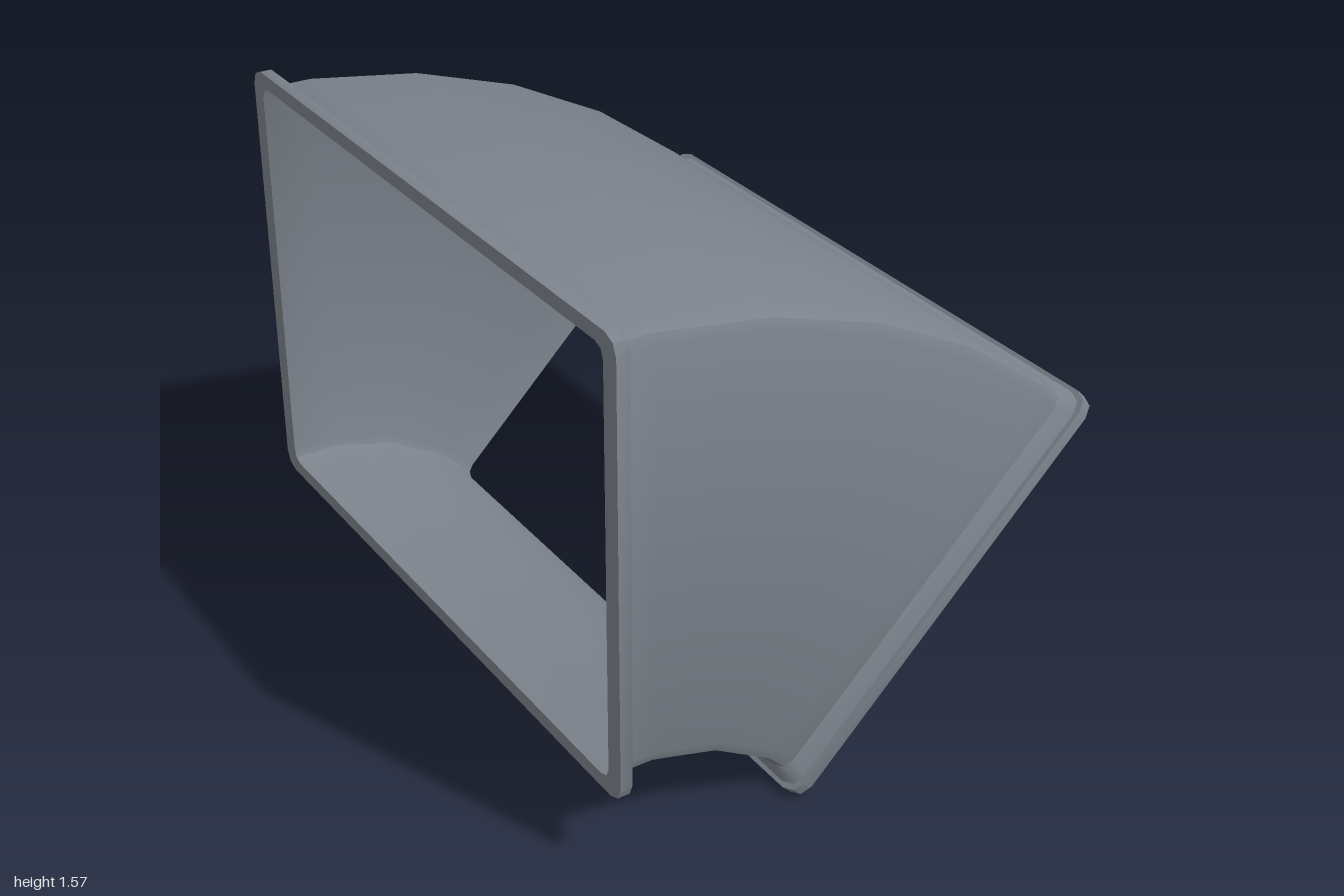
import * as THREE from 'three';
import { toCreasedNormals } from 'three/addons/utils/BufferGeometryUtils.js';

const TURN = Math.PI / 4;                       // bend of the elbow
const PIVOT = new THREE.Vector2(-0.755, -0.566); // where both end planes meet
const R_IN = 0.802, R_OUT = 2.136;              // flange edges, measured from the pivot
const TAIL = 0.135;                             // straight run at each end

// Point in an end plane (turned by angle), at radius r and depth d inward
function endPoint(angle, r, d) {
  const s = Math.sin(angle), c = Math.cos(angle);
  const dir = angle === 0 ? 1 : -1;
  return new THREE.Vector2(PIVOT.x + r * s + dir * d * c, PIVOT.y + r * c - dir * d * s);
}

// Cross-section at one end: depth, inset in height, inset in width, corner radius
const endStation = (angle, [d, iy, iz, r]) => ({
  a: endPoint(angle, R_IN + iy, d), b: endPoint(angle, R_OUT - iy, d), w: 1 - iz, r,
});

// Bend line of n equal chords whose headings step evenly through the turn
function bendLine(radius, n) {
  const start = endPoint(0, radius, TAIL), end = endPoint(TURN, radius, TAIL);
  const steps = [], sum = new THREE.Vector2();
  for (let k = 1; k <= n; k++) {
    const h = (TURN * k) / (n + 1);
    steps.push(new THREE.Vector2(Math.cos(h), -Math.sin(h)));
    sum.add(steps[k - 1]);
  }
  const len = start.distanceTo(end) / sum.length();
  const pts = [start];
  steps.forEach((s) => pts.push(pts[pts.length - 1].clone().addScaledVector(s, len)));
  return pts;
}

// Cross-sections of the duct wall through the bend
function bendStations(iy, iz, r) {
  const top = bendLine(R_OUT - iy, 4), low = bendLine(R_IN + iy, 2);
  return top.map((b, i) => {
    const k = Math.floor(i / 2);
    const a = i % 2 ? low[k].clone().lerp(low[k + 1], 0.5) : low[k];
    return { a, b, w: 1 - iz, r };
  });
}

// Skin through rounded rectangular cross-sections; each corner has two facets with a crease between
function skin(stations) {
  const SEG = 2, pos = [], idx = [], n = 4 * (SEG + 1);
  for (const { a, b, w, r } of stations) {
    const c = a.clone().add(b).multiplyScalar(0.5);
    const e = b.clone().sub(a), h = e.length() / 2;
    e.normalize();
    for (let q = 0; q < 4; q++) {
      const su = q === 0 || q === 3 ? 1 : -1, sz = q < 2 ? 1 : -1;
      for (let k = 0; k <= SEG; k++) {
        const t = (q + k / SEG) * Math.PI / 2;
        const u = su * (h - r) + r * Math.cos(t);
        pos.push(c.x + e.x * u, c.y + e.y * u, sz * (w - r) + r * Math.sin(t));
      }
    }
  }
  for (let i = 0; i < stations.length - 1; i++) {
    for (let j = 0; j < n; j++) {
      const A = i * n + j, B = i * n + (j + 1) % n;
      idx.push(A, B, A + n, B, B + n, A + n);
    }
  }
  const g = new THREE.BufferGeometry();
  g.setAttribute('position', new THREE.Float32BufferAttribute(pos, 3));
  g.setIndex(idx);
  return toCreasedNormals(g, 0.55);
}

export function createModel() {
  const group = new THREE.Group();
  group.name = 'ductElbow';
  const material = new THREE.MeshStandardMaterial({ color: 0x7b828b, side: THREE.DoubleSide });
  const add = (name, stations) => {
    const mesh = new THREE.Mesh(skin(stations), material);
    mesh.name = name;
    group.add(mesh);
  };

  // Flange profile, from the opening outward and back down to the wall
  const hole = [0, 0.042, 0.058, 0.035];
  const neck = [0.068, 0.035, 0.05, 0.045];
  const flange = [hole, [0, 0, 0, 0.05], [0.035, 0, 0, 0.05], [0.035, 0.012, 0.014, 0.05], neck];
  add('inletFlange', flange.map((p) => endStation(0, p)));
  add('outletFlange', flange.map((p) => endStation(TURN, p)).reverse());

  // Outer wall between the flanges
  add('outerWall', [endStation(0, neck), ...bendStations(...neck.slice(1)), endStation(TURN, neck)]);

  // Inner wall, running opening to opening and facing inward
  add('innerWall', [endStation(0, hole), ...bendStations(...hole.slice(1)), endStation(TURN, hole)].reverse());

  return group;
}
